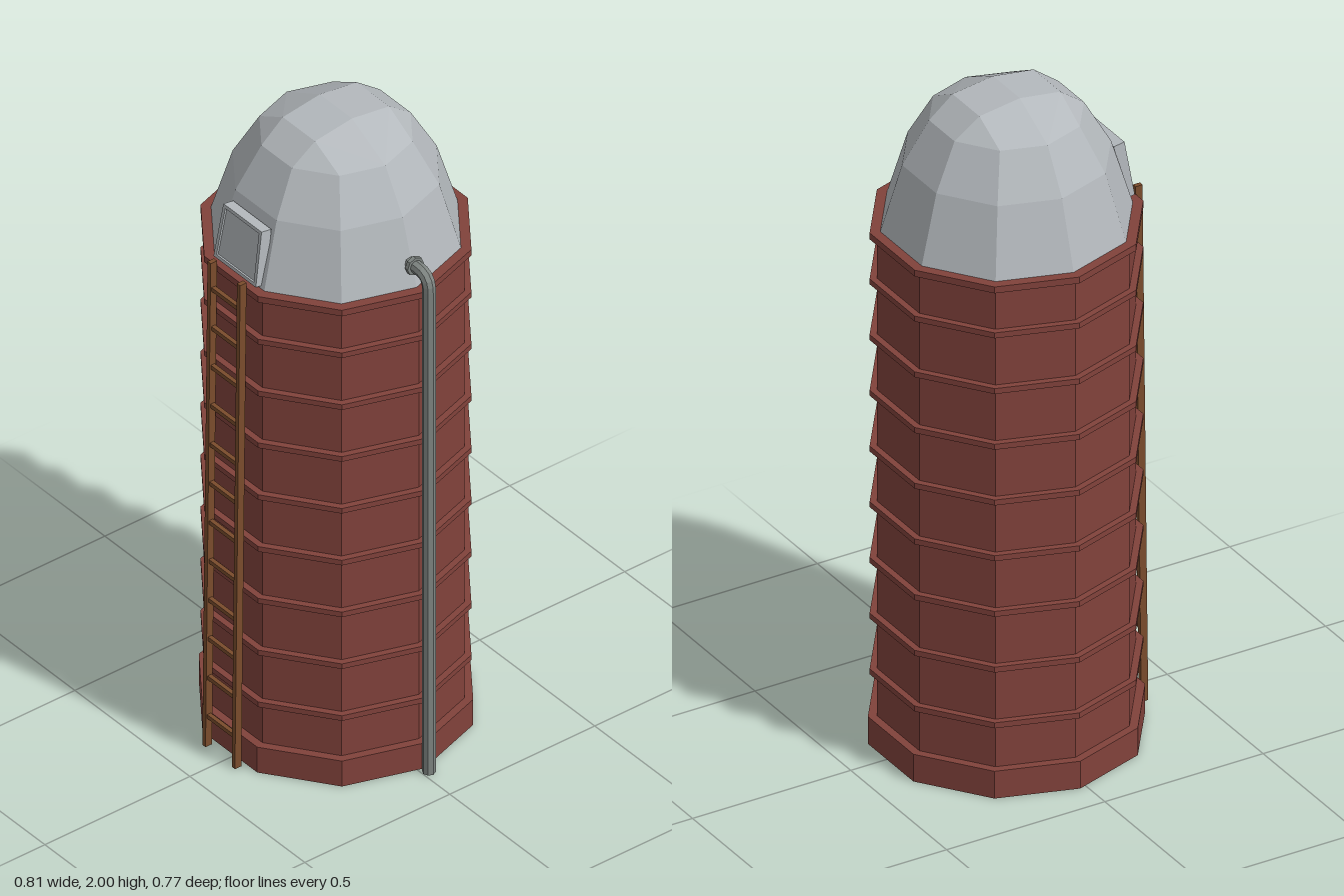
import * as THREE from 'three';
import { ConvexGeometry } from 'three/addons/geometries/ConvexGeometry.js';

const CX = -0.02, CZ = -0.02; // axis of the tower

function material(name, color) {
  const m = new THREE.MeshStandardMaterial({ color, flatShading: true });
  m.name = name;
  return m;
}

function add(parent, name, geometry, mat, x = 0, y = 0, z = 0) {
  const mesh = new THREE.Mesh(geometry, mat);
  mesh.name = name;
  mesh.position.set(x, y, z);
  parent.add(mesh);
  return mesh;
}

// Ten-sided prism with corners on the x axis
const decagon = (r, h) => new THREE.CylinderGeometry(r, r, h, 10).rotateY(Math.PI / 10);

function domeGeometry() {
  const points = [];
  // Faceted rings from the eaves upward: radius, height
  for (const [r, y] of [[0.352, 1.59], [0.29, 1.795], [0.215, 1.925]]) {
    for (let i = 0; i < 10; i++) {
      const a = i * Math.PI / 5;
      points.push(new THREE.Vector3(r * Math.cos(a), y, r * Math.sin(a)));
    }
  }
  // Short ridge and shoulders of the cap
  for (const x of [-0.07, 0.07]) {
    points.push(new THREE.Vector3(x, 2, 0));
    for (const z of [-0.128, 0.128]) points.push(new THREE.Vector3(x, 1.982, z));
  }
  return new ConvexGeometry(points);
}

// Symmetric trapezoid outline standing on y = 0
function trapezoid(Path, bottom, top, y0, y1) {
  const p = new Path();
  p.moveTo(-bottom, y0);
  p.lineTo(bottom, y0);
  p.lineTo(top, y1);
  p.lineTo(-top, y1);
  p.closePath();
  return p;
}

export function createModel() {
  const brick = material('brick red', 0x81423b);
  const metal = material('dome grey', 0xb3b8bc);
  const steel = material('pipe grey', 0x7f8582);
  const wood = material('ladder wood', 0x7a4c2c);
  const model = new THREE.Group();
  model.name = 'silo';

  // Tower with plinth and hoops
  const tower = new THREE.Group();
  tower.name = 'tower';
  tower.position.set(CX, 0, CZ);
  model.add(tower);
  add(tower, 'wall', decagon(0.36, 1.59), brick, 0, 0.795, 0);
  add(tower, 'plinth', decagon(0.385, 0.085), brick, 0, 0.0425, 0);
  for (let i = 0; i < 8; i++) add(tower, 'hoop', decagon(0.38, 0.017), brick, 0, 0.225 + i * 0.174, 0);
  add(tower, 'eavesHoop', decagon(0.38, 0.02), brick, 0, 1.585, 0);
  add(tower, 'dome', domeGeometry(), metal);

  // Hatch: raised frame around a slightly recessed door
  const hatch = new THREE.Group();
  hatch.name = 'hatch';
  hatch.position.set(CX, 1.6, 0.296);
  hatch.rotation.x = -0.16;
  model.add(hatch);
  const frame = trapezoid(THREE.Shape, 0.092, 0.083, 0, 0.17);
  frame.holes.push(trapezoid(THREE.Path, 0.081, 0.073, 0.01, 0.16));
  const extrude = (shape, depth) => new THREE.ExtrudeGeometry(shape, { depth, bevelEnabled: false });
  add(hatch, 'hatchFrame', extrude(frame, 0.034), metal);
  add(hatch, 'hatchDoor', extrude(trapezoid(THREE.Shape, 0.083, 0.075, 0.008, 0.162), 0.028), metal);

  // Ladder leaning slightly against the wall
  const ladder = new THREE.Group();
  ladder.name = 'ladder';
  ladder.position.set(-0.021, 0, 0.373);
  ladder.rotation.x = -0.011;
  model.add(ladder);
  for (const s of [-1, 1]) add(ladder, 'ladderRail', new THREE.BoxGeometry(0.014, 1.615, 0.022), wood, s * 0.064, 0.8075, 0);
  for (let i = 0; i < 12; i++) {
    add(ladder, 'ladderRung', new THREE.BoxGeometry(0.125, 0.013, 0.013), wood, 0, 0.1 + i * 0.1297, 0);
  }

  // Filling pipe: straight run, elbow and flange on the dome
  const path = new THREE.CurvePath();
  const v = (x, y) => new THREE.Vector3(x, y, CZ);
  path.add(new THREE.LineCurve3(v(0.384, 0), v(0.384, 1.62)));
  path.add(new THREE.QuadraticBezierCurve3(v(0.384, 1.62), v(0.384, 1.663), v(0.345, 1.663)));
  path.add(new THREE.LineCurve3(v(0.345, 1.663), v(0.3, 1.663)));
  const pipe = new THREE.Group();
  pipe.name = 'pipe';
  model.add(pipe);
  add(pipe, 'pipeTube', new THREE.TubeGeometry(path, 120, 0.019, 8), steel);
  add(pipe, 'pipeFoot', new THREE.CircleGeometry(0.019, 8).rotateX(Math.PI / 2), steel, 0.384, 0.001, CZ);
  add(pipe, 'pipeFlange', new THREE.CylinderGeometry(0.028, 0.028, 0.012, 8).rotateZ(Math.PI / 2), steel, 0.321, 1.663, CZ);

  return model;
}
